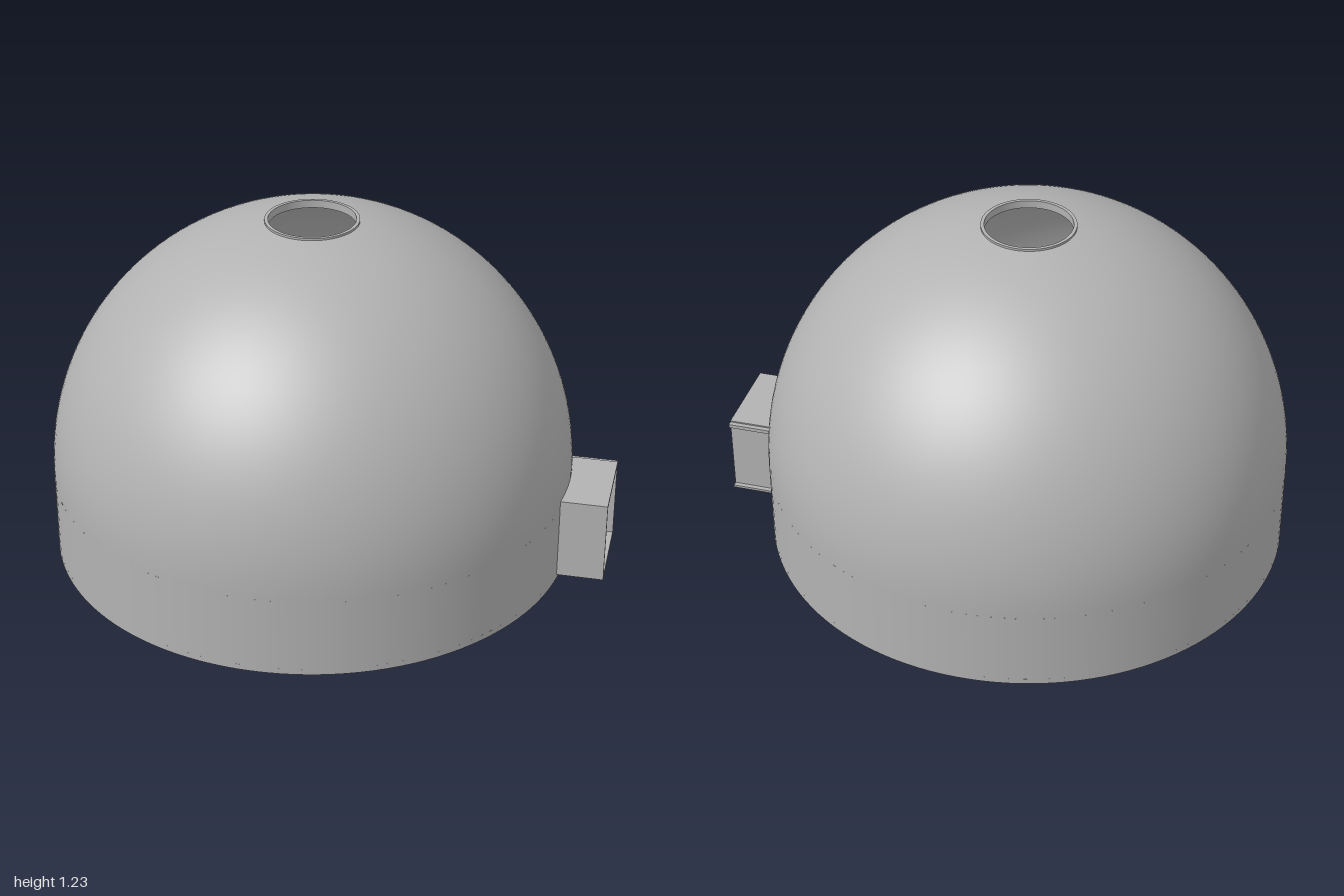
import * as THREE from 'three';

export function createModel() {
  const model = new THREE.Group();
  const grey = new THREE.MeshStandardMaterial({ color: 0xb2b2b2 });
  grey.name = 'plain grey';

  const CX = -0.075, R = 0.925, T = 0.015, SPRING = 0.31, LINTEL = 0.285, FLOOR = 0.02;
  const HOLE = 0.16, SEG = 128;

  const add = (name, geometry, x = 0, y = 0, z = 0, parent = model) => {
    const mesh = new THREE.Mesh(geometry, grey);
    mesh.name = name;
    mesh.position.set(x, y, z);
    parent.add(mesh);
    return mesh;
  };
  const box = (name, x0, x1, y0, y1, z0, z1, parent) =>
    add(name, new THREE.BoxGeometry(x1 - x0, y1 - y0, z1 - z0),
      (x0 + x1) / 2, (y0 + y1) / 2, (z0 + z1) / 2, parent);
  // each pair of points is [radius, height]; upward profiles face outward
  const lathe = (name, pts, start = 0, sweep = Math.PI * 2) =>
    add(name, new THREE.LatheGeometry(pts.map(p => new THREE.Vector2(...p)), SEG, start, sweep), CX);

  // floor slab
  add('floor', new THREE.CylinderGeometry(R, R, FLOOR, SEG), CX, FLOOR / 2);

  // straight wall with a doorway gap on +x, closed above by a lintel band
  const gap = Math.asin(0.147 / R);
  const start = Math.PI / 2 + gap, sweep = Math.PI * 2 - 2 * gap;
  lathe('wallOuter', [[R, FLOOR], [R, LINTEL]], start, sweep);
  lathe('wallInner', [[R - T, LINTEL], [R - T, FLOOR]], start, sweep);
  lathe('lintelOuter', [[R, LINTEL], [R, SPRING]]);
  lathe('lintelInner', [[R - T, SPRING], [R - T, LINTEL]]);
  lathe('lintelUnderside', [[R - T, LINTEL], [R, LINTEL]]);

  // hemispherical shell, open at the crown
  const arc = r => {
    const end = Math.acos(HOLE / r);
    return Array.from({ length: 41 }, (_, i) => {
      const a = end * i / 40;
      return [r * Math.cos(a), SPRING + r * Math.sin(a)];
    });
  };
  lathe('domeOuter', arc(R));
  lathe('domeInner', arc(R - T).reverse());

  // raised rim round the crown opening
  const top = 1.228, low = 1.2;
  lathe('rimOuter', [[0.163, low], [0.163, top]]);
  lathe('rimTop', [[0.163, top], [0.151, top]]);
  lathe('rimInner', [[0.151, top], [0.151, low]]);
  lathe('rimUnderside', [[0.151, low], [0.163, low]]);

  // entrance tunnel
  const tunnel = new THREE.Group();
  tunnel.name = 'entranceTunnel';
  model.add(tunnel);
  const x0 = 0.832, x1 = 1.0, y0 = 0.015, y1 = 0.315, w = 0.157, t = 0.012;
  box('tunnelRoof', x0, x1, y1 - t, y1, -w, w, tunnel);
  box('tunnelFloor', x0, x1, y0, y0 + t, -w, w, tunnel);
  for (const s of [-1, 1]) {
    const a = s * w, b = s * (w - t);
    box('tunnelSide', x0, x1, y0 + t, y1 - t, Math.min(a, b), Math.max(a, b), tunnel);
  }
  // rails along the outer right-hand side
  for (const [a, b] of [[0.29, 0.31], [0.018, 0.033]]) {
    box('rail', x0, x1, a, b, -0.166, -w, tunnel);
    box('railLip', x0, x1, a + 0.006, b, -0.174, -0.166, tunnel);
  }

  // slim centre post carrying two crossed panels
  add('postFoot', new THREE.CylinderGeometry(0.033, 0.033, 0.006, 32), CX, FLOOR + 0.003);
  add('post', new THREE.CylinderGeometry(0.003, 0.003, 0.26, 8), CX, 0.15);
  box('crossPanel', CX - 0.002, CX + 0.002, 0.125, 0.21, -0.063, 0.063);
  box('crossPanel', CX - 0.083, CX + 0.083, 0.125, 0.21, -0.002, 0.002);

  return model;
}
